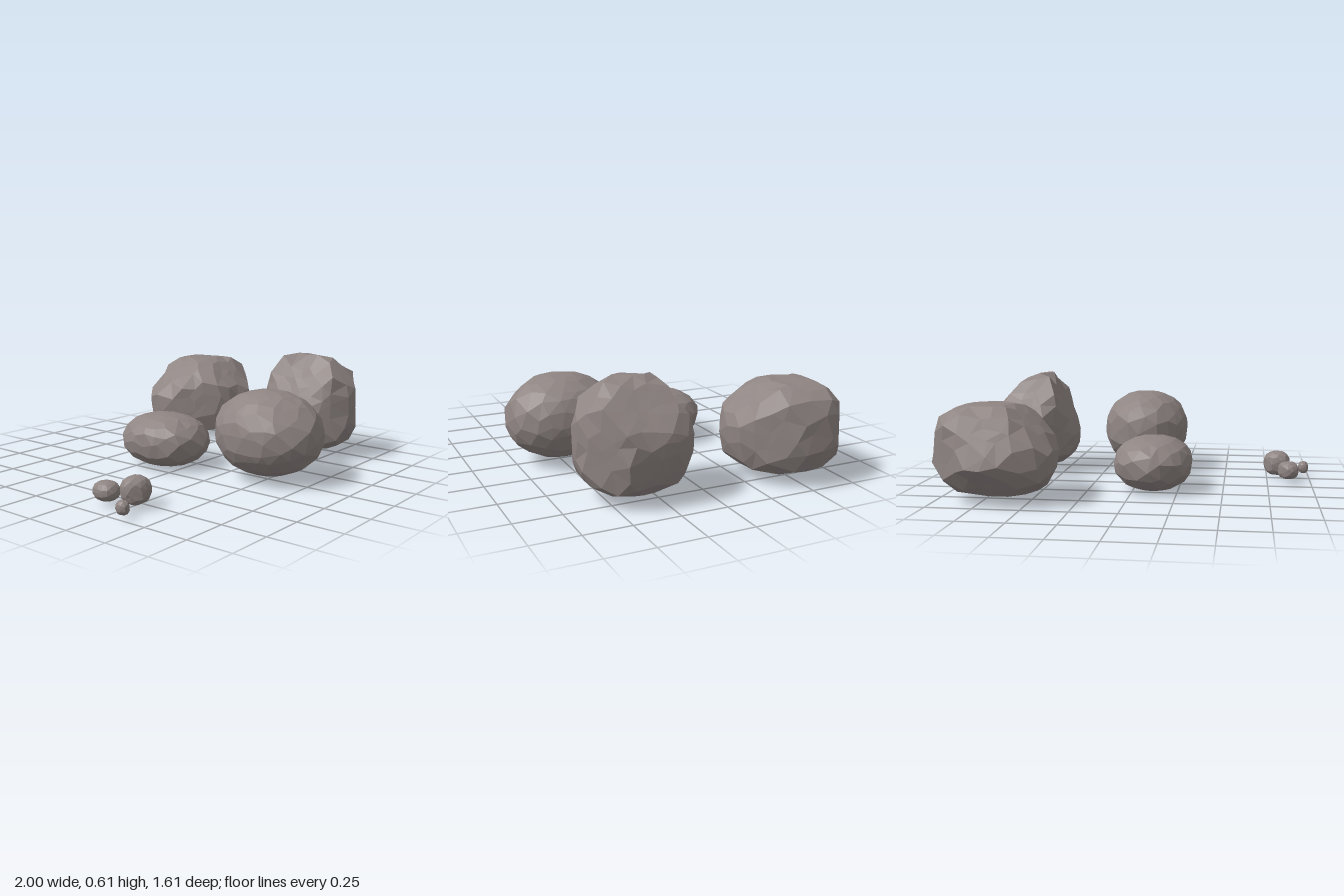
import * as THREE from 'three';
import { mergeVertices } from 'three/addons/utils/BufferGeometryUtils.js';

const stone = new THREE.MeshStandardMaterial({ color: 0x8f8583, flatShading: true });

function seeded(seed) {
  let s = seed;
  return () => (s = (s * 16807) % 2147483647) / 2147483647;
}

// Direction from degrees around (0 is front, 90 is +x) and degrees up
function direction(around, up) {
  const a = THREE.MathUtils.degToRad(around);
  const u = THREE.MathUtils.degToRad(up);
  return new THREE.Vector3(Math.sin(a) * Math.cos(u), Math.sin(u), Math.cos(a) * Math.cos(u));
}

// Power-sum length of a vector: 2 is round, more is boxier
function norm(v, power) {
  const sum = v.toArray().reduce((total, c) => total + Math.abs(c) ** power, 0);
  return sum ** (1 / power);
}

// A rounded body chiselled by planes; cuts: [around, up, share of the depth kept]
function makeRock(name, centre, half, power, detail, seed, cuts) {
  const random = seeded(seed);
  const randomDir = () =>
    new THREE.Vector3(random() - 0.5, random() - 0.5, random() - 0.5).normalize();
  const reach = new THREE.Vector3(...half);

  // Chosen cuts, plus shallow chips all around
  const planes = [];
  const addPlane = (normal, share) => {
    const depth = share * norm(normal.clone().multiply(reach), power / (power - 1));
    planes.push({ normal, depth });
  };
  cuts.forEach(([around, up, share]) => addPlane(direction(around, up), share));
  for (let i = 0; i < 8; i++) addPlane(randomDir(), 0.95 + 0.03 * random());

  const ball = new THREE.IcosahedronGeometry(1, detail);
  ball.deleteAttribute('normal');
  ball.deleteAttribute('uv');
  const geometry = mergeVertices(ball, 1e-3);
  const position = geometry.attributes.position;
  const dir = new THREE.Vector3();
  for (let i = 0; i < position.count; i++) {
    // Uneven facets
    dir.fromBufferAttribute(position, i).addScaledVector(randomDir(), 0.08).normalize();
    let radius = 1 / norm(dir.clone().divide(reach), power);
    for (const { normal, depth } of planes) {
      const facing = normal.dot(dir);
      if (facing > 0.05) radius = Math.min(radius, depth / facing);
    }
    dir.multiplyScalar(radius * (1 + 0.02 * random()));
    position.setXYZ(i, dir.x, dir.y, dir.z);
  }
  geometry.computeVertexNormals();

  const mesh = new THREE.Mesh(geometry, stone);
  mesh.name = name;
  mesh.position.set(...centre);
  return mesh;
}

export function createModel() {
  const group = new THREE.Group();
  group.name = 'rocks';

  // Round boulders in the middle
  group.add(
    makeRock('middleFrontBoulder', [0.005, 0.26, 0.495], [0.255, 0.23, 0.305], 2.2, 3, 4021, [
      [-40, 40, 0.91],
    ]),
    makeRock('middleBackBoulder', [-0.11, 0.15, -0.145], [0.22, 0.15, 0.265], 2.2, 3, 4998, [
      [-20, 45, 0.94],
    ]),
  );

  // Tall boulder narrowing to a ridge
  group.add(
    makeRock('peakedBoulder', [0.67, 0.325, 0.363], [0.25, 0.285, 0.283], 3.2, 3, 5975, [
      [-90, 24, 0.7],
      [90, 42, 0.71],
      [0, 41, 0.87],
      [180, 30, 0.82],
      [-45, 0, 0.84],
      [40, 0, 0.8],
      [-135, 0, 0.86],
    ]),
  );

  // Broad boulder with a sloping top and a pointed back corner
  group.add(
    makeRock('cornerBoulder', [0.675, 0.275, -0.5], [0.325, 0.235, 0.31], 3.2, 3, 6952, [
      [-100, 50, 0.75],
      [-56, 0, 0.76],
      [48, 0, 0.81],
      [146, 0, 0.83],
      [-160, 0, 0.88],
      [0, 48, 0.8],
      [180, -41, 0.87],
      [180, 23, 0.8],
    ]),
  );

  // Pebbles
  group.add(
    makeRock('backPebble', [-0.87, 0.07, 0.13], [0.06, 0.05, 0.07], 2.5, 2, 7929, [
      [135, 0, 0.85],
    ]),
    makeRock('middlePebble', [-0.808, 0.087, 0.27], [0.077, 0.072, 0.07], 2.5, 2, 8906, [
      [-45, 0, 0.78],
      [135, 0, 0.88],
    ]),
    makeRock('smallestPebble', [-0.97, 0.052, 0.335], [0.03, 0.037, 0.035], 2.5, 1, 9883, []),
  );
  return group;
}
